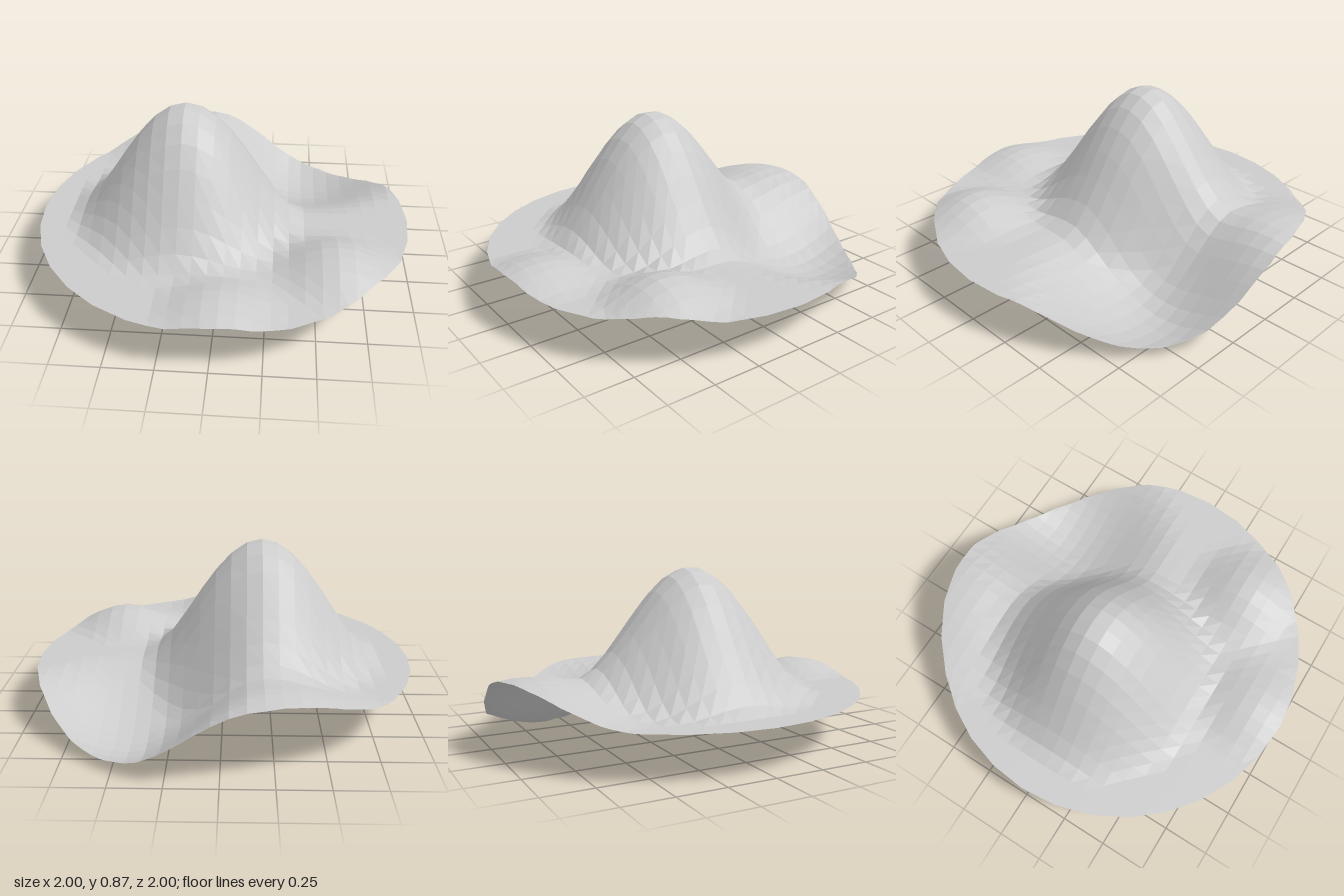
import * as THREE from 'three';

const BASE = 0.23, STEP = 0.08, SIDES = 32;

// Hills and hollows: centre x, centre z, radius, height
const MOUNDS = [
  [-0.2, 0, 0.65, 0.65],       // main hill
  [0.44, -0.64, 0.65, -0.23],  // hollow
  [-0.22, -0.85, 0.65, 0.155], // back rise
  [0.6, 0.48, 0.35, 0.115],    // small front mound
  [0.03, 0.83, 0.33, 0.073],   // small rim mound
];

function heightAt(x, z) {
  let y = BASE;
  for (const [cx, cz, r, h] of MOUNDS) {
    const t = ((x - cx) ** 2 + (z - cz) ** 2) / (r * r);
    if (t < 1) y += h * (1 - t) ** 2;
  }
  return Math.max(y, 0);
}

// Cut a flat polygon of [x, z] points to the inside of the round outline
function clipToDisc(poly) {
  const apothem = Math.cos(Math.PI / SIDES);
  for (let i = 0; i < SIDES && poly.length; i++) {
    const a = ((i + 0.5) / SIDES) * Math.PI * 2;
    const nx = Math.cos(a), nz = Math.sin(a);
    const dist = (p) => p[0] * nx + p[1] * nz - apothem;
    const out = [];
    poly.forEach((p, k) => {
      const q = poly[(k + 1) % poly.length];
      const dp = dist(p), dq = dist(q);
      if (dp <= 0) out.push(p);
      if (dp * dq < 0) {
        const t = dp / (dp - dq);
        out.push([p[0] + (q[0] - p[0]) * t, p[1] + (q[1] - p[1]) * t]);
      }
    });
    poly = out;
  }
  return poly;
}

export function createModel() {
  const group = new THREE.Group();
  group.name = 'landscape';

  // Square grid trimmed to a disc and lifted by the mounds
  const pos = [];
  const n = Math.round(2 / STEP);
  for (let i = 0; i < n; i++) {
    for (let j = 0; j < n; j++) {
      const x0 = -1 + i * STEP, z0 = -1 + j * STEP;
      const x1 = x0 + STEP, z1 = z0 + STEP;
      const cell = clipToDisc([[x0, z0], [x0, z1], [x1, z1], [x1, z0]]);
      for (let k = 1; k < cell.length - 1; k++) {
        for (const [x, z] of [cell[0], cell[k], cell[k + 1]]) pos.push(x, heightAt(x, z), z);
      }
    }
  }
  const geometry = new THREE.BufferGeometry();
  geometry.setAttribute('position', new THREE.Float32BufferAttribute(pos, 3));
  geometry.computeVertexNormals();

  const terrain = new THREE.Mesh(
    geometry,
    new THREE.MeshStandardMaterial({ color: 0xcccccc, flatShading: true, side: THREE.DoubleSide })
  );
  terrain.name = 'terrain';
  group.add(terrain);
  return group;
}
